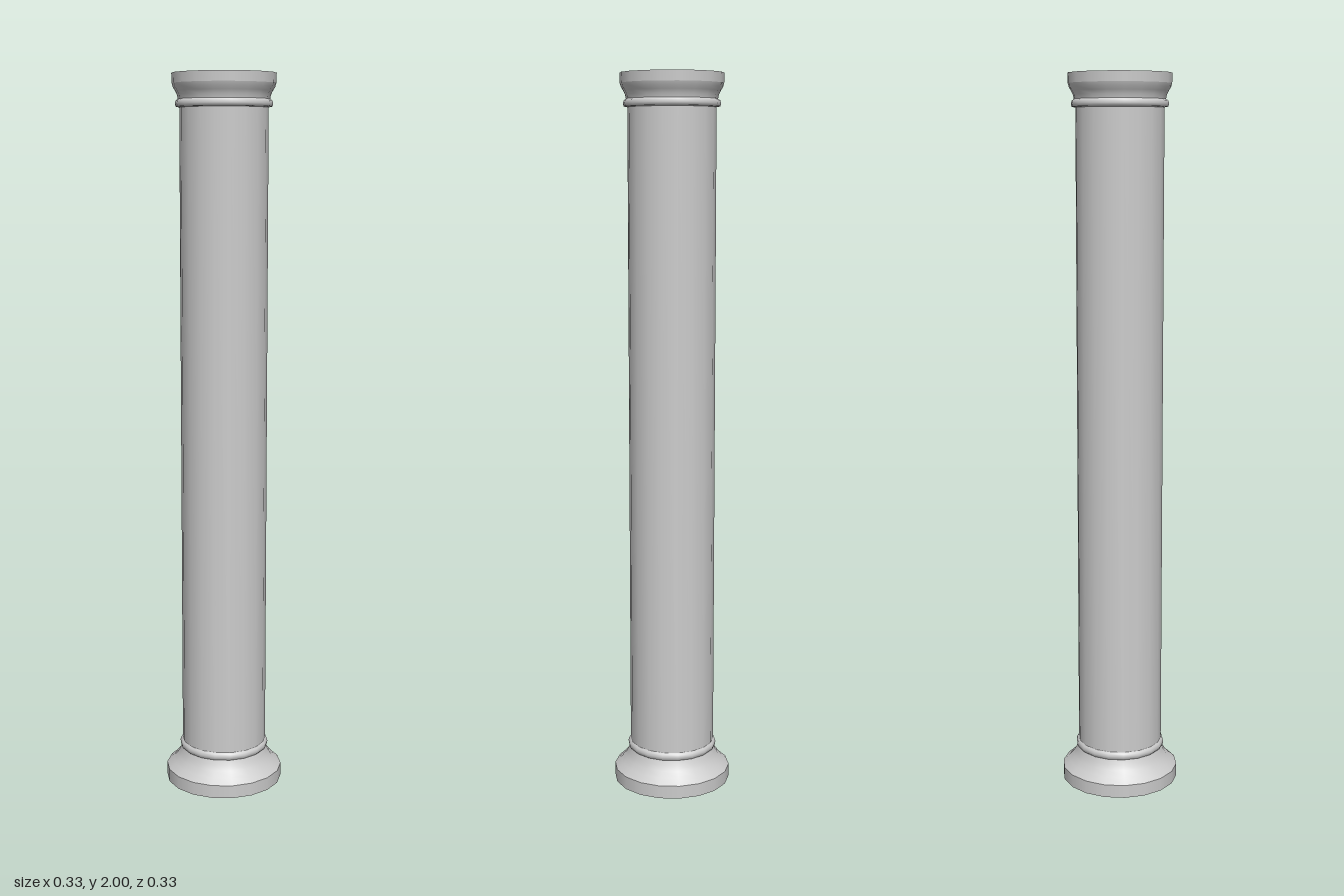
import * as THREE from 'three';

const SIDES = 18;
const material = new THREE.MeshStandardMaterial({ color: 0xcccccc, side: THREE.DoubleSide });

// Open shell turned round the y axis from [radius, height] points, lowest first
function turned(name, profile) {
  const points = profile.map(([r, y]) => new THREE.Vector2(r, y));
  const mesh = new THREE.Mesh(new THREE.LatheGeometry(points, SIDES, Math.PI / 2), material);
  mesh.name = name;
  return mesh;
}

// Several shells sharing crisp edges where one profile ends and the next starts
function moulding(name, profiles) {
  const group = new THREE.Group();
  group.name = name;
  for (const [part, profile] of Object.entries(profiles)) group.add(turned(part, profile));
  return group;
}

export function createModel() {
  const column = new THREE.Group();
  column.name = 'column';

  // Hollow shaft, open at both ends
  column.add(turned('shaft', [[0.12, 0.1], [0.12, 1.92]]));

  // Flared foot with a small bead above it
  column.add(moulding('base', {
    plinth: [[0.166, 0], [0.166, 0.037]],
    flare: [[0.166, 0.037], [0.148, 0.053], [0.135, 0.068], [0.127, 0.082], [0.122, 0.095]],
    baseBead: [[0.122, 0.095], [0.126, 0.099], [0.127, 0.106], [0.125, 0.113], [0.12, 0.117]],
  }));

  // Bead, narrow neck and flared open rim
  column.add(moulding('capital', {
    capitalBead: [[0.12, 1.91], [0.13, 1.912], [0.132, 1.92], [0.13, 1.928], [0.124, 1.932]],
    neck: [[0.124, 1.932], [0.126, 1.943], [0.131, 1.953], [0.137, 1.963], [0.14, 1.973]],
    rim: [[0.14, 1.973], [0.141, 2]],
  }));

  return column;
}
